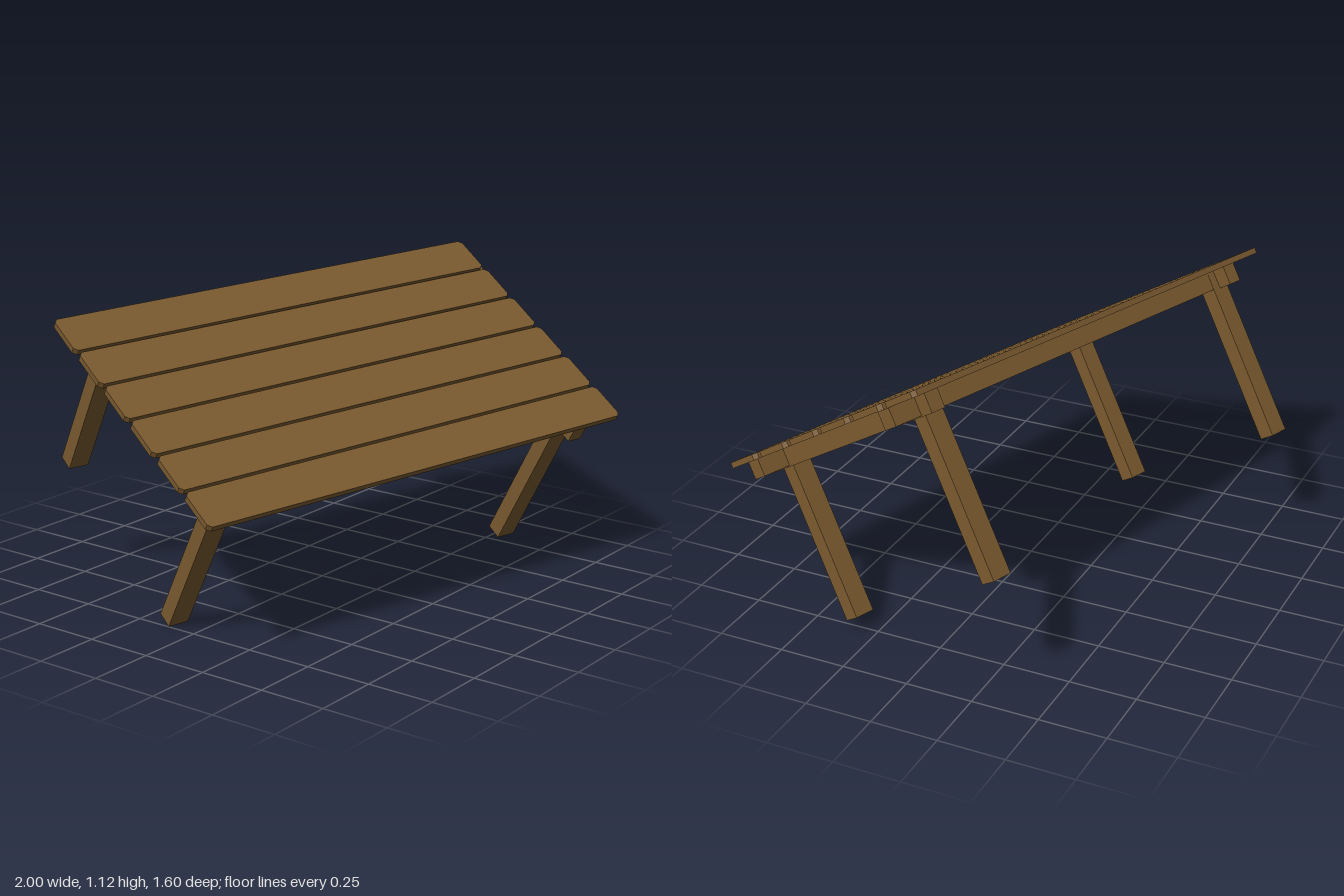
import * as THREE from 'three';

export function createModel() {
  const wood = new THREE.MeshStandardMaterial({ color: 0x7a5a2f });
  wood.name = 'brown wood';

  const model = new THREE.Group();
  model.name = 'model';

  // The whole table is tipped: x along the boards, y out of the top, z across
  const table = new THREE.Group();
  table.name = 'tiltedTable';
  const along = new THREE.Vector3(0.9615, 0.037, 0.272).normalize();
  const normal = new THREE.Vector3(-0.174, 0.848, 0.5);
  normal.addScaledVector(along, -normal.dot(along)).normalize();
  const across = new THREE.Vector3().crossVectors(along, normal);
  table.quaternion.setFromRotationMatrix(new THREE.Matrix4().makeBasis(along, normal, across));
  table.position.set(0, 0.825, 0.116);
  model.add(table);

  // Table top: six planks with clipped corners, each slightly staggered
  const L = 0.94, W = 0.081, C = 0.014, T = 0.022;
  const outline = new THREE.Shape([
    [-L + C, -W], [L - C, -W], [L, -W + C], [L, W - C],
    [L - C, W], [-L + C, W], [-L, W - C], [-L, -W + C],
  ].map(([x, y]) => new THREE.Vector2(x, y)));
  const plankGeometry = new THREE.ExtrudeGeometry(outline, { depth: T, bevelEnabled: false });
  plankGeometry.rotateX(Math.PI / 2);
  for (let i = 0; i < 6; i++) {
    const plank = new THREE.Mesh(plankGeometry, wood);
    plank.name = `plank${i + 1}`;
    const z = (i - 2.5) * 0.1735;
    plank.position.set(0.034 * z, 0, z);
    table.add(plank);
  }

  // Underframe, turned slightly against the planks
  const frame = new THREE.Group();
  frame.name = 'underframe';
  frame.rotation.y = -0.0315;
  table.add(frame);

  const beam = (name, w, h, d, x, y, z) => {
    const mesh = new THREE.Mesh(new THREE.BoxGeometry(w, h, d), wood);
    mesh.name = name;
    mesh.position.set(x, y, z);
    frame.add(mesh);
  };

  for (const s of [-1, 1]) {
    beam(s > 0 ? 'frontRail' : 'backRail', 1.79, 0.066, 0.06, 0.035, -T - 0.033, s * 0.395);
    beam(s > 0 ? 'leftRail' : 'rightRail', 0.06, 0.07, 0.96, s * 0.785, -T - 0.035, 0);
    for (const t of [-1, 1]) {
      const name = (t > 0 ? 'front' : 'back') + (s > 0 ? 'Left' : 'Right') + 'Leg';
      beam(name, 0.08, 0.65, 0.062, s * 0.76, -0.355, t * 0.395);
    }
  }
  return model;
}
